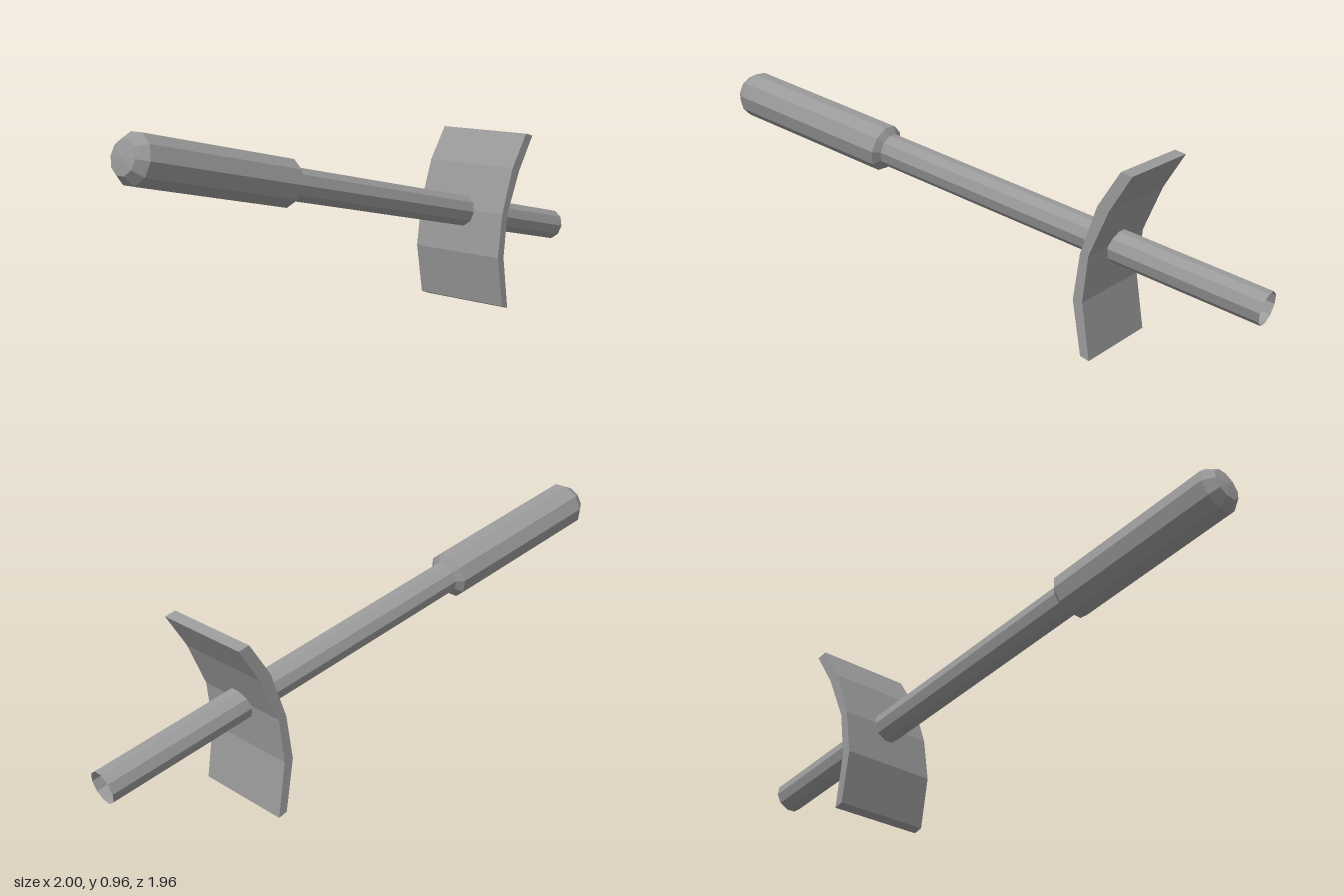
import * as THREE from 'three';

export function createModel() {
  const group = new THREE.Group();
  group.name = 'hoe';
  const grey = new THREE.MeshStandardMaterial({ color: 0x999999, flatShading: true, side: THREE.DoubleSide });
  grey.name = 'grey metal';

  // Shaft axis, from the grip rim to the open tail end
  const start = new THREE.Vector3(-0.925, 0.865, 0.895);
  const end = new THREE.Vector3(0.945, 0.28, -0.926);
  const along = end.clone().sub(start);
  const length = along.length();
  along.normalize();
  const across = new THREE.Vector3(-along.z, 0, along.x).normalize();
  const up = new THREE.Vector3().crossVectors(along, across);
  const toAxis = new THREE.Matrix4().makeBasis(up, along, across).setPosition(start);

  // Ten-sided turned part; profile is [radius, distance along the axis]
  function turned(name, profile) {
    const points = profile.map(([r, t]) => new THREE.Vector2(r, t));
    const geometry = new THREE.LatheGeometry(points, 10).applyMatrix4(toAxis);
    const mesh = new THREE.Mesh(geometry, grey);
    mesh.name = name;
    group.add(mesh);
  }

  // Thick grip with a domed butt and a stepped front edge
  turned('grip', [[0, -0.055], [0.072, -0.045], [0.105, 0], [0.105, 0.785], [0.072, 0.81]]);
  // Thin shaft, hollow at the tail
  turned('shaft', [[0.073, 0.7], [0.073, length]]);

  // Curved blade: front face upward, then back face downward, as [out, height]
  const front = [[0.626, 0.015], [0.588, 0.247], [0.617, 0.445], [0.69, 0.65], [0.79, 0.8]];
  const back = [[0.84, 0.787], [0.742, 0.635], [0.655, 0.44], [0.631, 0.243], [0.666, 0]];
  const outline = new THREE.Shape([...front, ...back].map(([u, y]) => new THREE.Vector2(u, y)));
  const width = 0.48;
  const bladeGeometry = new THREE.ExtrudeGeometry(outline, { depth: width, bevelEnabled: false });
  bladeGeometry.translate(0, 0, -width / 2);
  const blade = new THREE.Mesh(bladeGeometry, grey);
  blade.name = 'blade';
  blade.rotation.y = Math.PI / 4;
  group.add(blade);

  return group;
}
